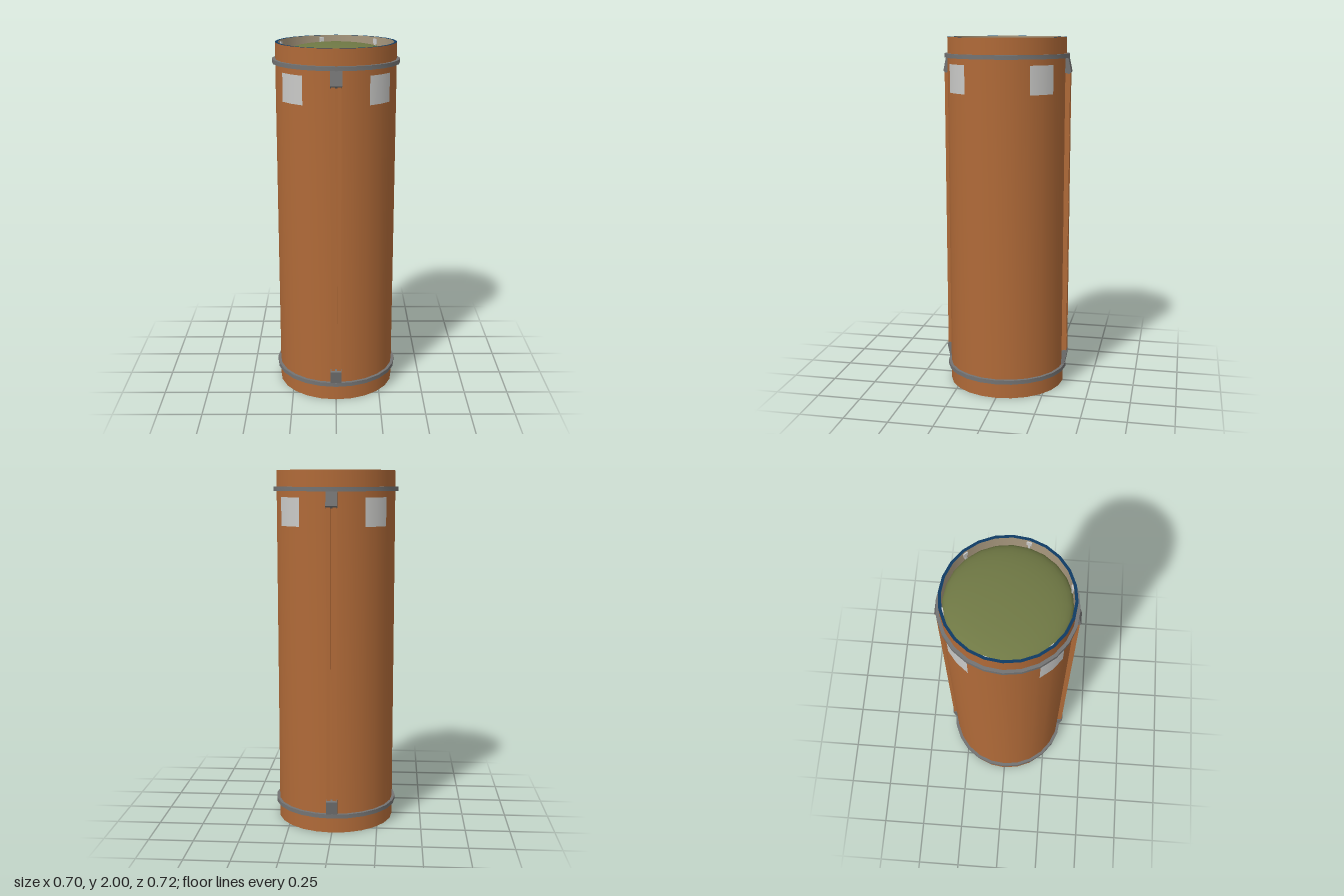
import * as THREE from 'three';
import { toCreasedNormals } from 'three/addons/utils/BufferGeometryUtils.js';

const SIDES = 24, OUTER = 0.333, INNER = 0.318;

function material(name, color) {
  const m = new THREE.MeshStandardMaterial({ color });
  m.name = name;
  return m;
}

function lathe(points) {
  const g = new THREE.LatheGeometry(points.map(p => new THREE.Vector2(...p)), SIDES);
  return toCreasedNormals(g, 0.6);
}

export function createModel() {
  const orange = material('burnt orange', 0xb06a38);
  const grey = material('metal grey', 0x737373);
  const navy = material('navy rim', 0x0f3a63);
  const olive = material('olive', 0x6f7844);
  const beige = material('beige lining', 0xa8987e);
  const white = material('pale label', 0xcacac8);
  white.side = THREE.DoubleSide;

  const model = new THREE.Group();
  model.name = 'canister';
  function add(parent, name, geometry, mat) {
    const mesh = new THREE.Mesh(geometry, mat);
    mesh.name = name;
    parent.add(mesh);
    return mesh;
  }

  // Tube wall, outside and lining
  add(model, 'outerWall', lathe([[OUTER, 0], [OUTER, 2]]), orange);
  add(model, 'innerLining', lathe([[INNER, 2], [INNER, 0]]), beige);

  // One end, measured from the middle of the tube; the other is the same turned over
  function makeEnd(name) {
    const end = new THREE.Group();
    end.name = name;
    end.position.y = 1;
    add(end, 'rim', lathe([[OUTER, 1], [INNER, 1]]), navy);
    add(end, 'hoop', lathe([[0.33, 0.888], [0.35, 0.888], [0.35, 0.911], [0.33, 0.911], [0.33, 0.888]]), grey);

    // Shallow dome closing the tube
    const dome = [];
    for (let i = 0; i <= 10; i++) {
      const a = i / 10 * Math.PI / 2;
      dome.push([INNER * Math.cos(a), 0.92 + 0.072 * Math.sin(a)]);
    }
    dome[10][0] = 0;
    add(end, 'dome', lathe(dome), olive);

    // Six small pale tabs inside the lip
    for (let i = 0; i < 6; i++) {
      const tab = new THREE.Group();
      tab.name = 'innerTab';
      tab.rotation.y = Math.PI / 12 + i * Math.PI / 3;
      add(tab, 'tabHead', new THREE.BoxGeometry(0.026, 0.028, 0.006), white).position.set(0, 0.975, 0.314);
      add(tab, 'tabStem', new THREE.BoxGeometry(0.012, 0.03, 0.006), white).position.set(0, 0.946, 0.314);
      end.add(tab);
    }

    // Wedge clamps holding the rails, front and back
    const wedge = new THREE.Shape([[0.325, 0.808], [0.35, 0.8], [0.362, 0.812], [0.346, 0.888], [0.325, 0.888]]
      .map(p => new THREE.Vector2(...p)));
    const clampGeo = new THREE.ExtrudeGeometry(wedge, { depth: 0.062, bevelEnabled: false });
    clampGeo.translate(0, 0, -0.031).rotateY(-Math.PI / 2);
    for (const turn of [0, Math.PI]) add(end, 'railClamp', clampGeo, grey).rotation.y = turn;
    model.add(end);
    return end;
  }
  makeEnd('topEnd');
  makeEnd('bottomEnd').rotation.x = Math.PI;

  // Twin rails with a narrow groove, front and back
  for (const [name, turn] of [['frontRail', 0], ['backRail', Math.PI]]) {
    const rail = new THREE.Group();
    rail.name = name;
    rail.rotation.y = turn;
    for (const s of [-1, 1]) {
      add(rail, 'railStrip', new THREE.BoxGeometry(0.021, 1.63, 0.032), orange).position.set(s * 0.0165, 1, 0.34);
    }
    model.add(rail);
  }

  // Four curved labels near the top
  const half = 13.2 * Math.PI / 180;
  for (let i = 0; i < 4; i++) {
    const label = new THREE.CylinderGeometry(0.336, 0.336, 0.155, 2, 1, true,
      Math.PI / 4 + i * Math.PI / 2 - half, half * 2);
    add(model, 'label', label, white).position.y = 1.778;
  }
  return model;
}
